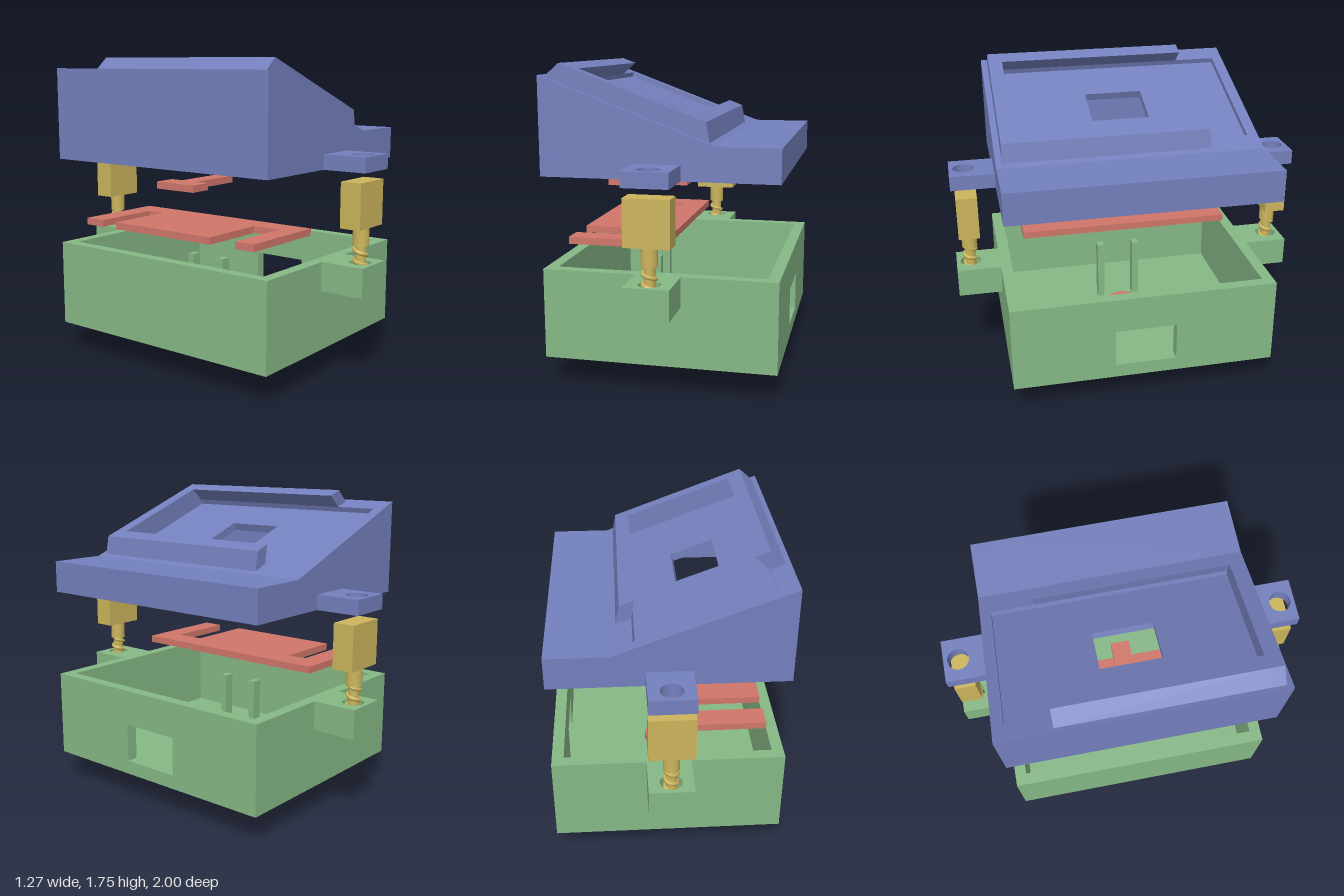
import * as THREE from 'three';

const mat = (name, color, side = THREE.FrontSide) => {
  const m = new THREE.MeshStandardMaterial({ color, side });
  m.name = name;
  return m;
};

export function createModel() {
  const blue = mat('lid blue', 0x7480bd);
  const green = mat('case green', 0x86b886);
  const red = mat('board red', 0xd0766a, THREE.DoubleSide);
  const yellow = mat('screw yellow', 0xccb55c);
  const root = new THREE.Group();

  const add = (parent, name, geo, m) => {
    const mesh = new THREE.Mesh(geo, m);
    mesh.name = name;
    parent.add(mesh);
    return mesh;
  };
  const group = (name) => {
    const g = new THREE.Group();
    g.name = name;
    root.add(g);
    return g;
  };
  // box given by its limits
  const box = (x0, x1, y0, y1, z0, z1) =>
    new THREE.BoxGeometry(x1 - x0, y1 - y0, z1 - z0).translate((x0 + x1) / 2, (y0 + y1) / 2, (z0 + z1) / 2);
  const poly = (pts) => new THREE.Shape(pts.map(([x, y]) => new THREE.Vector2(x, y)));
  const rect = (x0, x1, y0, y1) => poly([[x0, y0], [x1, y0], [x1, y1], [x0, y1]]);
  const extrude = (shape, depth) =>
    new THREE.ExtrudeGeometry(shape, { depth, bevelEnabled: false, curveSegments: 24 });
  // profile in x,y drawn out between two z values
  const alongZ = (pts, z0, z1) => extrude(poly(pts), z1 - z0).translate(0, 0, z0);
  // outline in x,z with its top at the given height
  const plate = (shape, top, thick) => extrude(shape, thick).rotateX(Math.PI / 2).translate(0, top, 0);
  const disc = (r, y0, y1) => new THREE.CylinderGeometry(r, r, y1 - y0, 48).translate(0, (y0 + y1) / 2, 0);
  // ear with a vertical screw hole
  const ear = (s, top, thick) => {
    const sh = rect(-0.122, 0.122, s > 0 ? 0.74 : -1, s > 0 ? 1 : -0.74);
    sh.holes.push(new THREE.Path().absarc(0, s * 0.917, 0.06, 0, Math.PI * 2));
    return plate(sh, top, thick);
  };

  // ---- lower case ----
  const W = 0.635, D = 0.75, T = 0.065;
  const base = group('lowerCase');
  add(base, 'caseFloor', box(-W, W, 0.163, 0.24, -D, D), green);
  add(base, 'plainSideWall', box(-W, -W + T, 0.24, 0.66, -D, D), green);
  for (const s of [-1, 1]) {
    add(base, 'endWall', box(-W, W, 0.24, 0.66, s > 0 ? D - T : -D, s > 0 ? D : T - D), green);
    add(base, 'caseEar', ear(s, 0.66, 0.163), green);
    add(base, 'innerPost', box(-0.2, -0.14, 0.24, 0.6, s * 0.11 - 0.02, s * 0.11 + 0.02), green);
  }
  const side = rect(-D, D, 0.163, 0.66);
  side.holes.push(rect(-0.175, 0.175, 0.242, 0.46));
  add(base, 'windowSideWall', extrude(side, T).rotateY(Math.PI / 2).translate(W - T, 0, 0), green);

  // ---- round foot ----
  const foot = group('foot');
  add(foot, 'footCollar', disc(0.29, 0.08, 0.165), green);
  const ring = [[0, 0.05], [0.08, 0.05], [0.08, 0.015], [0, 0.015]];
  const lathe = (pts) => new THREE.LatheGeometry(pts.map((p) => new THREE.Vector2(...p)), 48);
  const flat = (g) => { const n = g.toNonIndexed(); n.computeVertexNormals(); return n; };
  add(foot, 'footSide', new THREE.CylinderGeometry(0.273, 0.273, 0.08, 48, 1, true).translate(0, 0.04, 0), red);
  add(foot, 'footUnderside', flat(lathe([[0.273, 0], [0.235, 0], [0.235, 0.04], [0.2, 0.04], [0.2, 0.015],
    [0.165, 0.015], [0.165, 0.05], [0.08, 0.05]])), red);
  add(foot, 'footCentre', flat(lathe(ring)), red);
  add(foot, 'footTop', disc(0.1, 0.24, 0.28), red);

  // ---- boards ----
  add(root, 'mainBoard', plate(poly([[0, -0.63], [0, 0.6], [-0.54, 0.6], [-0.54, 0.48], [-0.14, 0.48], [-0.14, 0.31],
    [-0.54, 0.31], [-0.54, -0.39], [-0.14, -0.39], [-0.14, -0.5], [-0.54, -0.5], [-0.54, -0.63]]), 0.808, 0.04), red);
  add(root, 'smallBoard', plate(poly([[-0.46, -0.138], [-0.33, -0.138], [-0.33, -0.06], [0, -0.06], [0, 0.046],
    [-0.33, 0.046], [-0.33, 0.128], [-0.46, 0.128]]), 1.06, 0.04), red);

  // ---- screws with block heads ----
  const turns = 4;
  const helix = new THREE.CatmullRomCurve3(Array.from({ length: turns * 12 + 1 }, (_, i) => {
    const a = (i / 12) * Math.PI * 2;
    return new THREE.Vector3(0.033 * Math.cos(a), 0.52 + (0.23 * i) / (turns * 12), 0.033 * Math.sin(a));
  }));
  for (const s of [-1, 1]) {
    const screw = group('screw');
    screw.position.z = s * 0.917;
    add(screw, 'screwHead', box(-0.122, 0.122, 0.858, 1.108, -0.06, 0.06), yellow);
    add(screw, 'screwShank', disc(0.044, 0.755, 0.86), yellow);
    add(screw, 'screwCore', disc(0.03, 0.5, 0.76), yellow);
    add(screw, 'screwThread', new THREE.TubeGeometry(helix, 120, 0.012, 6), yellow);
  }

  // ---- lid shell ----
  const lid = group('lid');
  const outline = [[-W, 1.162], [W, 1.162], [W, 1.343], [0.3, 1.343], [-W, 1.69]];
  add(lid, 'lidHighWall', alongZ([[-W, 1.162], [-W + T, 1.162], [-W + T, 1.666], [-W, 1.69]], -D, D), blue);
  add(lid, 'lidLowWall', box(W - T, W, 1.162, 1.343, -D, D), blue);
  add(lid, 'lidFlatTop', box(0.28, W, 1.27, 1.343, -D, D), blue);
  add(lid, 'lidInnerBlock', box(0.21, 0.56, 1.168, 1.28, -0.19, 0.19), blue);
  for (const s of [-1, 1]) {
    add(lid, 'lidEndWall', alongZ(outline, s > 0 ? D - 0.06 : -D, s > 0 ? D : 0.06 - D), blue);
    add(lid, 'lidEar', ear(s, 1.245, 0.083), blue);
  }

  // ---- sloping roof, built flat and then tilted ----
  const slope = new THREE.Group();
  slope.name = 'slopingTop';
  slope.position.set(-W, 1.69, 0);
  slope.rotation.z = -Math.atan2(0.347, 0.935);
  lid.add(slope);
  const upper = rect(0.05, 0.997, -0.7, 0.7);
  upper.holes.push(rect(0.112, 0.871, -0.688, 0.635));
  add(slope, 'roofPlate', plate(upper, 0, 0.03), blue);
  const lower = rect(0.06, 0.997, -0.7, 0.7);
  lower.holes.push(rect(0.364, 0.615, -0.17, 0.165));
  add(slope, 'pocketFloor', plate(lower, -0.03, 0.045), blue);
  // dovetail rails and closed end of the slide-in frame
  const h = 0.093;
  add(slope, 'highRail', alongZ([[0.027, 0], [0.112, 0], [0.163, h], [0.077, h]], -0.45, 0.64), blue);
  add(slope, 'lowRail', alongZ([[0.871, 0], [0.96, 0], [0.905, h], [0.82, h]], -0.45, 0.64), blue);
  add(slope, 'frameEnd', alongZ([[0.027, 0], [0.96, 0], [0.905, h], [0.077, h]], 0.635, 0.715), blue);

  return root;
}
